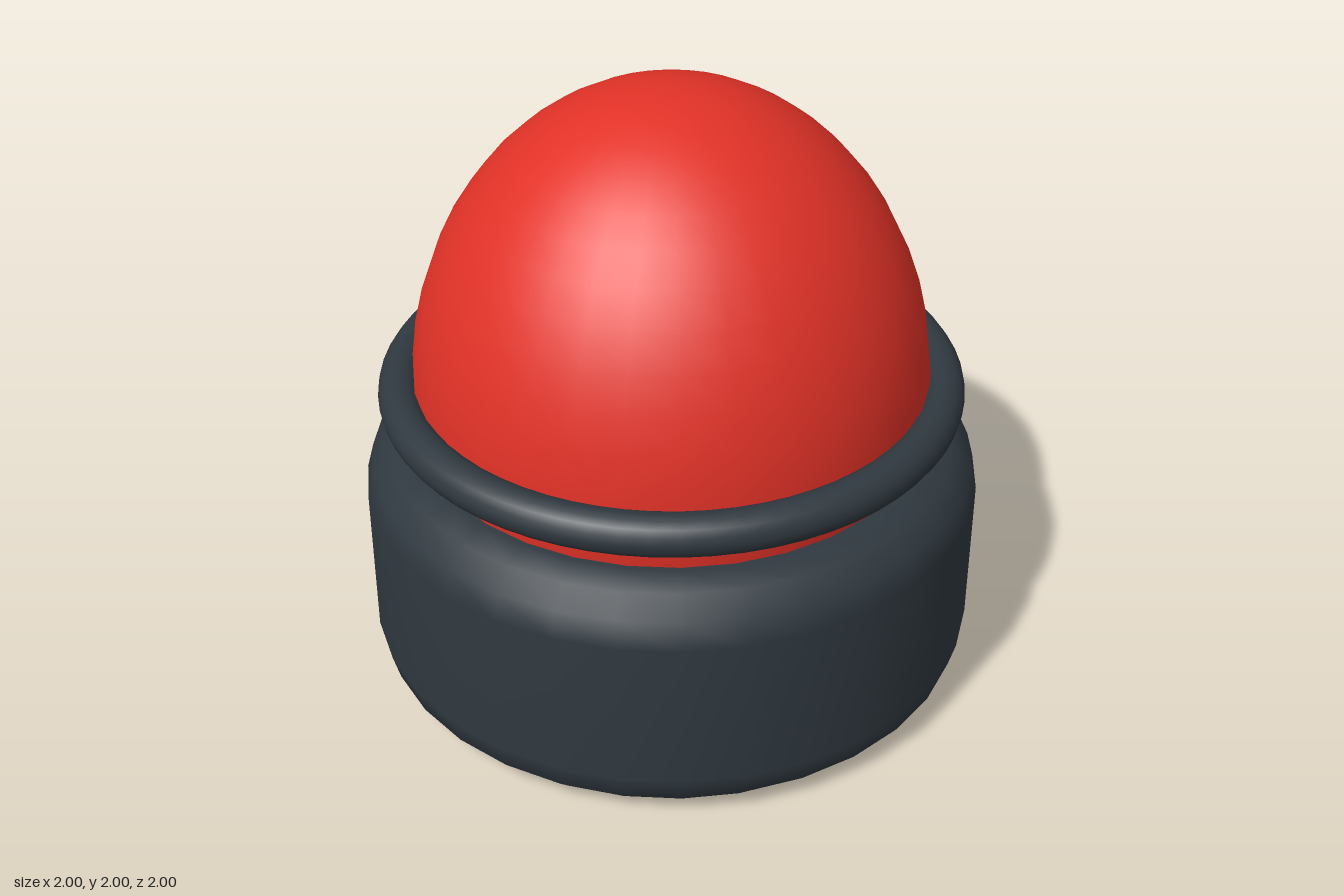
import * as THREE from 'three';

export function createModel() {
  const model = new THREE.Group();
  const red = new THREE.MeshStandardMaterial({ name: 'red', color: 0xe23227 });
  const charcoal = new THREE.MeshStandardMaterial({ name: 'charcoal', color: 0x303940 });

  const add = (name, geometry, material) => {
    const mesh = new THREE.Mesh(geometry, material);
    mesh.name = name;
    model.add(mesh);
    return mesh;
  };

  // Drum base with rounded rims, profile from bottom centre to top centre
  const height = 0.84, bevel = 0.17, steps = 3;
  const profile = [new THREE.Vector2(0, 0)];
  const addRim = (centreY, startAngle) => {
    for (let i = 0; i <= steps; i++) {
      const a = startAngle + (i / steps) * Math.PI / 2;
      profile.push(new THREE.Vector2(1 - bevel + bevel * Math.cos(a), centreY + bevel * Math.sin(a)));
    }
  };
  addRim(bevel, -Math.PI / 2);
  addRim(height - bevel, 0);
  profile.push(new THREE.Vector2(0, height));
  add('base', new THREE.LatheGeometry(profile, 32), charcoal);

  // Egg-shaped dome sunk into the base
  const dome = add('dome', new THREE.SphereGeometry(0.83, 32, 16, 0, Math.PI * 2, 0, Math.PI * 0.625), red);
  dome.scale.y = 1 / 0.83;
  dome.position.y = 1;

  // Ring around the widest part of the dome
  const ring = add('ring', new THREE.TorusGeometry(0.873, 0.067, 16, 64), charcoal);
  ring.rotation.x = Math.PI / 2;
  ring.position.y = 1;

  return model;
}
